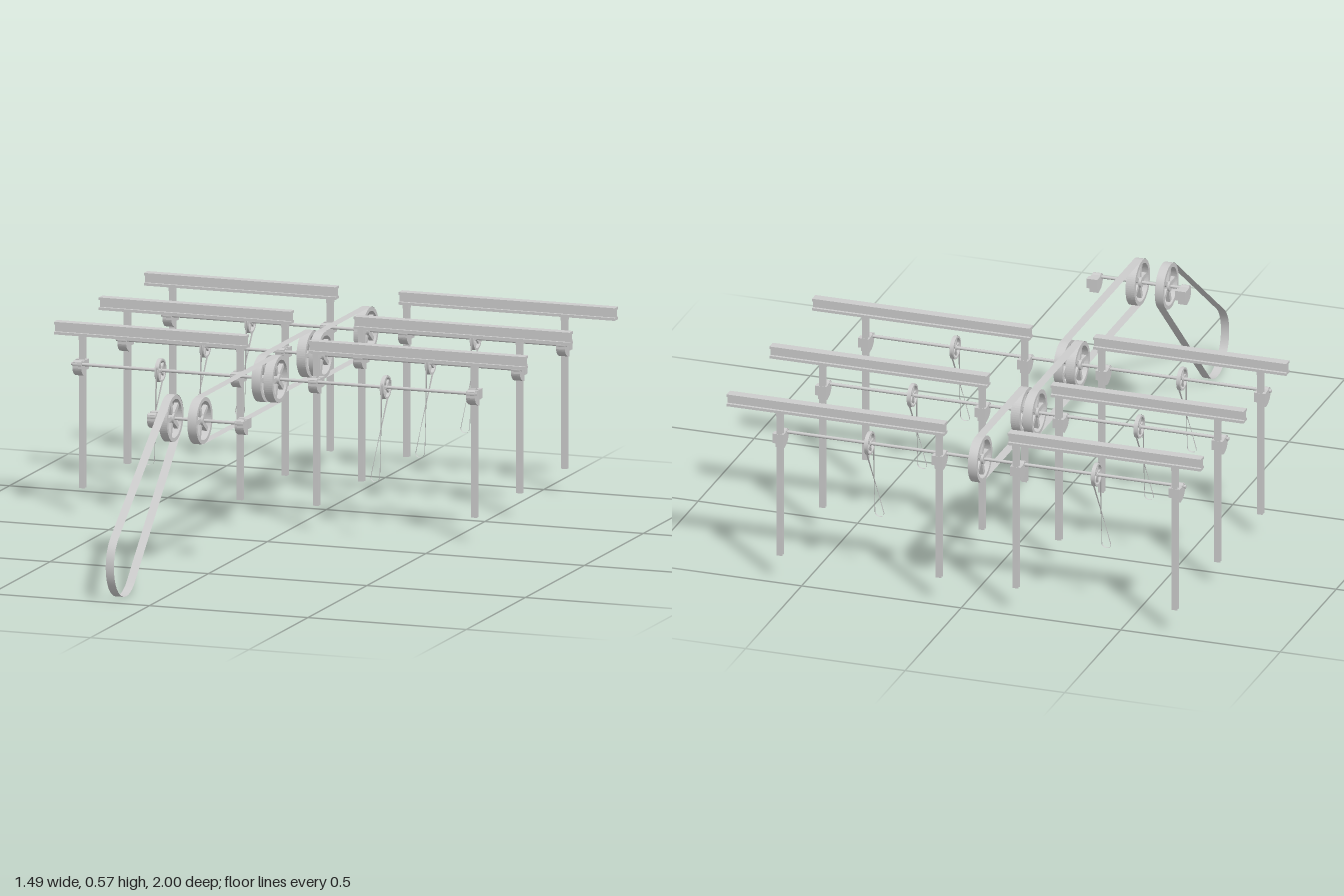
import * as THREE from 'three';

const grey = new THREE.MeshStandardMaterial({ color: 0xcccccc });
const thin = new THREE.MeshStandardMaterial({ color: 0xcccccc, side: THREE.DoubleSide });
const SHAFT_Y = 0.457, WHEEL_R = 0.07, SMALL_R = 0.035;

function add(parent, name, geometry, x = 0, y = 0, z = 0, material = grey) {
  const mesh = new THREE.Mesh(geometry, material);
  mesh.name = name;
  mesh.position.set(x, y, z);
  parent.add(mesh);
  return mesh;
}

// Bar of I-shaped section, centred, running along its local z
function iBar(w, h, web, flange, length) {
  const a = w / 2, b = h / 2, c = web / 2, d = b - flange;
  const pts = [[-a, -b], [a, -b], [a, -d], [c, -d], [c, d], [a, d], [a, b], [-a, b], [-a, d], [-c, d], [-c, -d], [-a, -d]];
  const shape = new THREE.Shape(pts.map(p => new THREE.Vector2(...p)));
  return new THREE.ExtrudeGeometry(shape, { depth: length, bevelEnabled: false }).translate(0, 0, -length / 2);
}

function xCylinder(r, length, sides = 16) {
  return new THREE.CylinderGeometry(r, r, length, sides).rotateZ(Math.PI / 2);
}

// Spoked pulley turning about x
function pulley(name, x, z, r, width) {
  const g = new THREE.Group();
  g.name = name;
  g.position.set(x, SHAFT_Y, z);
  const rim = new THREE.Shape().absarc(0, 0, r, 0, Math.PI * 2);
  rim.holes.push(new THREE.Path().absarc(0, 0, r * 0.83, 0, Math.PI * 2, true));
  add(g, 'rim', new THREE.ExtrudeGeometry(rim, { depth: width, bevelEnabled: false, curveSegments: 32 })
    .translate(0, 0, -width / 2).rotateY(Math.PI / 2));
  add(g, 'hub', xCylinder(r * 0.22, width));
  for (let i = 0; i < 5; i++) {
    const spoke = new THREE.BoxGeometry(width * 0.5, r * 0.75, r * 0.19).translate(0, r * 0.5, 0);
    add(g, 'spoke', spoke.rotateX(i * Math.PI * 0.4 + 0.3));
  }
  return g;
}

// Closed ribbon through the points, spread along a direction given per point
function ribbon(points, across, width) {
  const pos = [], index = [], n = points.length;
  points.forEach((p, i) => {
    for (const s of [-0.5, 0.5]) pos.push(...p.clone().addScaledVector(across[i], s * width));
    const a = i * 2, b = ((i + 1) % n) * 2;
    index.push(a, a + 1, b, b, a + 1, b + 1);
  });
  const geo = new THREE.BufferGeometry();
  geo.setAttribute('position', new THREE.Float32BufferAttribute(pos, 3));
  geo.setIndex(index);
  geo.computeVertexNormals();
  return geo;
}

// Belt round two circles with centres [y, z] and radii ra, rb
function belt(parent, name, x, a, b, ra = WHEEL_R + 0.001, rb = ra) {
  const dy = b[0] - a[0], dz = b[1] - a[1], dir = Math.atan2(dy, dz), pts = [];
  const tangent = Math.acos((ra - rb) / Math.hypot(dy, dz));
  const arc = (c, r, start, sweep) => {
    for (let i = 0; i <= 24; i++) {
      const t = start + sweep * i / 24;
      pts.push(new THREE.Vector3(x, c[0] + r * Math.sin(t), c[1] + r * Math.cos(t)));
    }
  };
  arc(a, ra, dir + tangent, 2 * (Math.PI - tangent));
  arc(b, rb, dir - tangent, 2 * tangent);
  const across = pts.map(() => new THREE.Vector3(1, 0, 0));
  add(parent, name, ribbon(pts, across, 0.026), 0, 0, 0, thin);
}

// Narrow quarter-twist belt hanging from a small pulley
function dropBelt(parent, x, z) {
  const top = new THREE.Vector3(x, SHAFT_Y, z), bottom = new THREE.Vector3(x - 0.003, 0.201, z + 0.08);
  const down = bottom.clone().sub(top).normalize(), side = new THREE.Vector3(1, 0, 0);
  const normal = new THREE.Vector3().crossVectors(side, down), pts = [], across = [];
  const arc = (centre, r, u, v, axis) => {
    for (let i = 0; i <= 12; i++) {
      const t = i * Math.PI / 12;
      pts.push(centre.clone().addScaledVector(u, r * Math.cos(t)).addScaledVector(v, r * Math.sin(t)));
      across.push(axis);
    }
  };
  arc(top, SMALL_R + 0.001, normal, down.clone().negate(), side);
  arc(bottom, 0.014, side, down, new THREE.Vector3(0, 0, 1));
  add(parent, 'dropBelt', ribbon(pts, across, 0.006), 0, 0, 0, thin);
}

// Bracket and bearing carrying a shaft, with its mounting plate behind
function bearing(parent, x, z) {
  const g = new THREE.Group();
  g.name = 'bearing';
  g.position.set(x, SHAFT_Y, z);
  const arm = new THREE.Shape();
  arm.moveTo(-0.03, 0.007);
  arm.lineTo(0.01, 0.007);
  arm.lineTo(0.01, -0.012);
  arm.quadraticCurveTo(0.004, -0.036, -0.03, -0.04);
  add(g, 'bracket', new THREE.ExtrudeGeometry(arm, { depth: 0.028, bevelEnabled: false })
    .translate(0, 0, -0.014).rotateY(-Math.PI / 2));
  add(g, 'mountingPlate', new THREE.BoxGeometry(0.034, 0.03, 0.022), 0, -0.006, -0.037);
  add(g, 'bush', xCylinder(0.011, 0.026));
  parent.add(g);
}

export function createModel() {
  const model = new THREE.Group();
  model.name = 'lineShaftDrive';
  const rows = [-0.165, -0.546, -0.928], frontZ = 0.48;
  const belts = { outer: -0.125, middle: -0.072, inner: -0.034 };

  // Three rows of beams, posts and shafts
  rows.forEach((z, i) => {
    const row = new THREE.Group();
    row.name = 'shaftRow' + (i + 1);
    model.add(row);
    for (const [x0, x1] of [[-0.744, -0.139], [0.06, 0.742]]) {
      add(row, 'beam', iBar(0.03, 0.038, 0.012, 0.008, x1 - x0).rotateY(Math.PI / 2), (x0 + x1) / 2, 0.555, z - 0.038);
    }
    for (const x of [-0.659, -0.161, 0.08, 0.579]) {
      add(row, 'post', iBar(0.018, 0.016, 0.007, 0.004, 0.462).rotateX(Math.PI / 2), x, 0.307, z - 0.039);
      add(row, 'postCap', new THREE.BoxGeometry(0.018, 0.012, 0.022), x, 0.53, z - 0.038);
      bearing(row, x + (x > 0 ? 0.004 : 0), z);
    }
    add(row, 'shaft', xCylinder(0.005, 1.28, 12), -0.04, SHAFT_Y, z);
    for (const x of [-0.399, 0.312]) {
      row.add(pulley('smallPulley', x, z, SMALL_R, 0.012));
      dropBelt(row, x, z);
    }
    row.add(pulley('innerPulley', belts.inner, z, WHEEL_R, 0.028));
    if (i < 2) row.add(pulley('middlePulley', belts.middle, z, WHEEL_R, 0.028));
  });

  // Front drive shaft
  const drive = new THREE.Group();
  drive.name = 'driveShaft';
  model.add(drive);
  add(drive, 'shaft', xCylinder(0.005, 0.295, 12), -0.043, SHAFT_Y, frontZ);
  for (const x of [-0.184, 0.093]) bearing(drive, x, frontZ);
  drive.add(pulley('outerPulley', belts.outer, frontZ, WHEEL_R, 0.025));
  drive.add(pulley('innerPulley', belts.inner, frontZ, WHEEL_R, 0.028));

  // Belts linking the shafts, and the main belt widening to the floor
  belt(model, 'mainBelt', belts.outer, [SHAFT_Y, frontZ], [0.105, 0.895], WHEEL_R + 0.001, 0.105);
  belt(model, 'frontBelt', belts.inner, [SHAFT_Y, frontZ], [SHAFT_Y, rows[0]]);
  belt(model, 'middleBelt', belts.middle, [SHAFT_Y, rows[0]], [SHAFT_Y, rows[1]]);
  belt(model, 'rearBelt', belts.inner, [SHAFT_Y, rows[1]], [SHAFT_Y, rows[2]]);
  return model;
}
